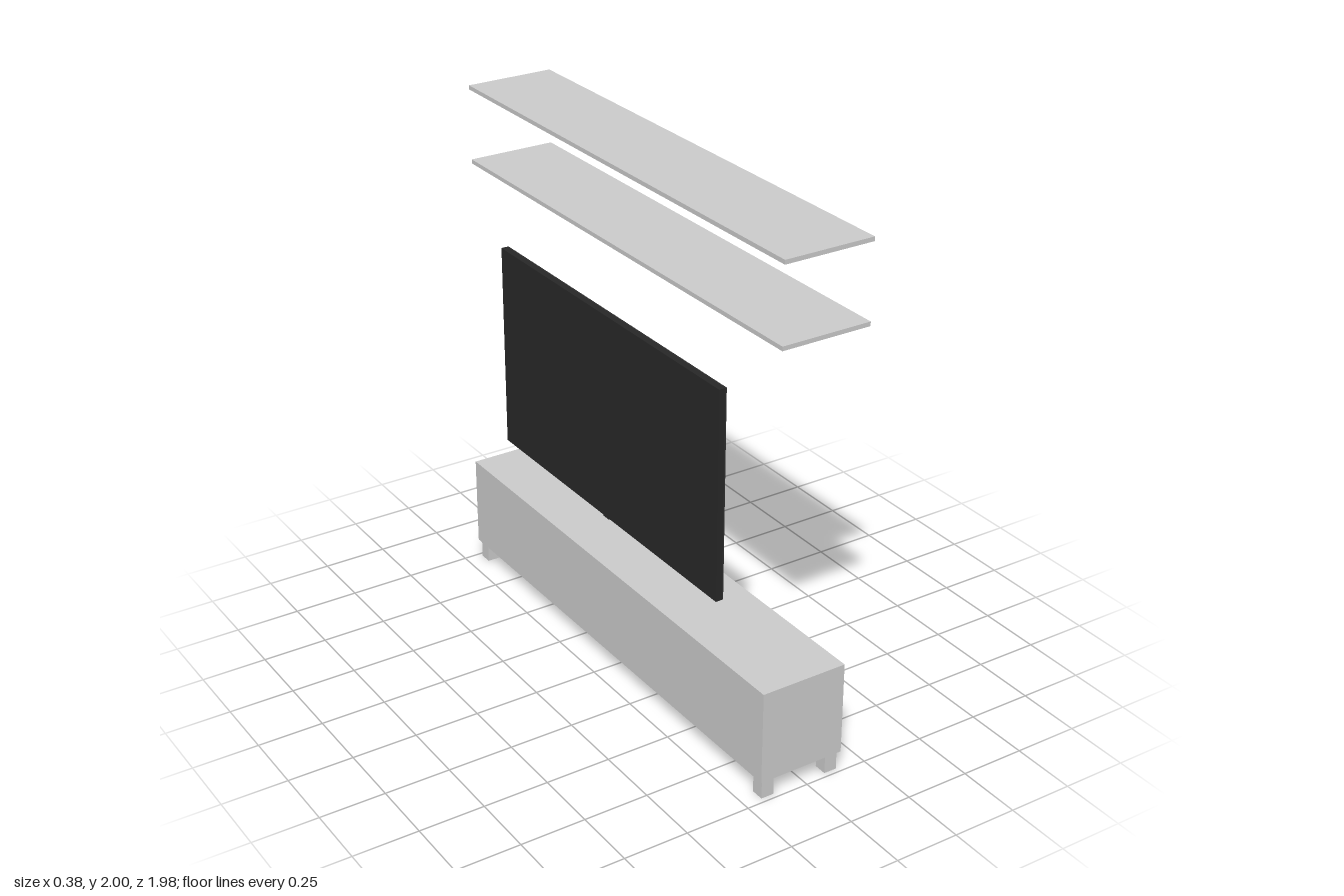
import * as THREE from 'three';

const grey = new THREE.MeshStandardMaterial({ color: 0xcccccc });
const black = new THREE.MeshStandardMaterial({ color: 0x282828 });
const bezel = new THREE.MeshStandardMaterial({ color: 0x2e2e2e });

// Box given by its limits on each axis
function box(parent, name, [x0, x1], [y0, y1], [z0, z1], material = grey) {
  const mesh = new THREE.Mesh(new THREE.BoxGeometry(x1 - x0, y1 - y0, z1 - z0), material);
  mesh.position.set((x0 + x1) / 2, (y0 + y1) / 2, (z0 + z1) / 2);
  mesh.name = name;
  parent.add(mesh);
  return mesh;
}

// Limits mirrored to the other end when side is -1
const span = (side, a, b) => (side > 0 ? [a, b] : [-b, -a]);

// Bar handle: a flat grip with a rounded nose, run along z
function handle(y, z) {
  const h = 0.009, nose = 0.167;
  const shape = new THREE.Shape();
  shape.moveTo(0.149, -h * 0.7);
  shape.lineTo(0.158, -h);
  shape.lineTo(nose, -h);
  shape.absarc(nose, 0, h, -Math.PI / 2, Math.PI / 2, false);
  shape.lineTo(0.158, h);
  shape.lineTo(0.149, h * 0.7);
  const geo = new THREE.ExtrudeGeometry(shape, { depth: 0.15, bevelEnabled: false, curveSegments: 8 });
  const mesh = new THREE.Mesh(geo, grey);
  mesh.position.set(0, y, z - 0.075);
  mesh.name = 'drawerHandle';
  return mesh;
}

function createCabinet() {
  const cabinet = new THREE.Group();
  cabinet.name = 'cabinet';
  const depth = [-0.19, 0.15], inner = [-0.175, 0.15], height = [0.095, 0.417];

  // Carcass boards
  box(cabinet, 'topBoard', depth, [0.417, 0.435], [-0.99, 0.99]);
  box(cabinet, 'bottomBoard', depth, [0.075, 0.095], [-0.99, 0.99]);
  box(cabinet, 'backPanel', [-0.19, -0.175], height, [-0.99, 0.99]);
  box(cabinet, 'nicheShelf', inner, [0.249, 0.264], [-0.315, 0.315]);

  for (const side of [1, -1]) {
    box(cabinet, 'sidePanel', inner, height, span(side, 0.975, 0.99));
    box(cabinet, 'divider', inner, height, span(side, 0.315, 0.335));

    // Two drawers with a narrow gap between them
    for (const [y0, y1, handleY] of [[0.095, 0.243, 0.169], [0.249, 0.417, 0.339]]) {
      box(cabinet, 'drawer', [-0.17, 0.15], [y0, y1], span(side, 0.335, 0.975));
      cabinet.add(handle(handleY, side * 0.653));
    }

    // Square legs
    for (const x of [-0.155, 0.115]) {
      box(cabinet, 'leg', [x - 0.025, x + 0.025], [0, 0.075], span(side, 0.93, 0.98));
    }
  }
  return cabinet;
}

function createTelevision() {
  const tv = new THREE.Group();
  tv.name = 'television';
  const w = 0.71, y0 = 0.656, y1 = 1.457;

  box(tv, 'televisionBody', [-0.195, -0.17], [y0, y1], [-w, w], black);

  // Bezel around the slightly recessed screen
  const rect = (path, a, b, c, d) =>
    path.moveTo(a, c).lineTo(b, c).lineTo(b, d).lineTo(a, d).closePath();
  const outline = rect(new THREE.Shape(), -w, w, y0, y1);
  outline.holes.push(rect(new THREE.Path(), -w + 0.012, w - 0.012, y0 + 0.016, y1 - 0.012));
  const frame = new THREE.Mesh(
    new THREE.ExtrudeGeometry(outline, { depth: 0.005, bevelEnabled: false }), bezel);
  frame.rotation.y = Math.PI / 2;
  frame.position.x = -0.17;
  frame.name = 'screenBezel';
  tv.add(frame);

  // Small sensor under the lower edge
  box(tv, 'sensor', [-0.19, -0.162], [0.646, 0.66], [-0.018, 0.018], black);
  return tv;
}

export function createModel() {
  const model = new THREE.Group();
  model.name = 'mediaWall';
  model.add(createCabinet(), createTelevision());

  // Two long wall shelves
  for (const top of [1.71, 2]) {
    box(model, 'wallShelf', [-0.155, 0.19], [top - 0.016, top], [-0.99, 0.99]);
  }
  return model;
}
